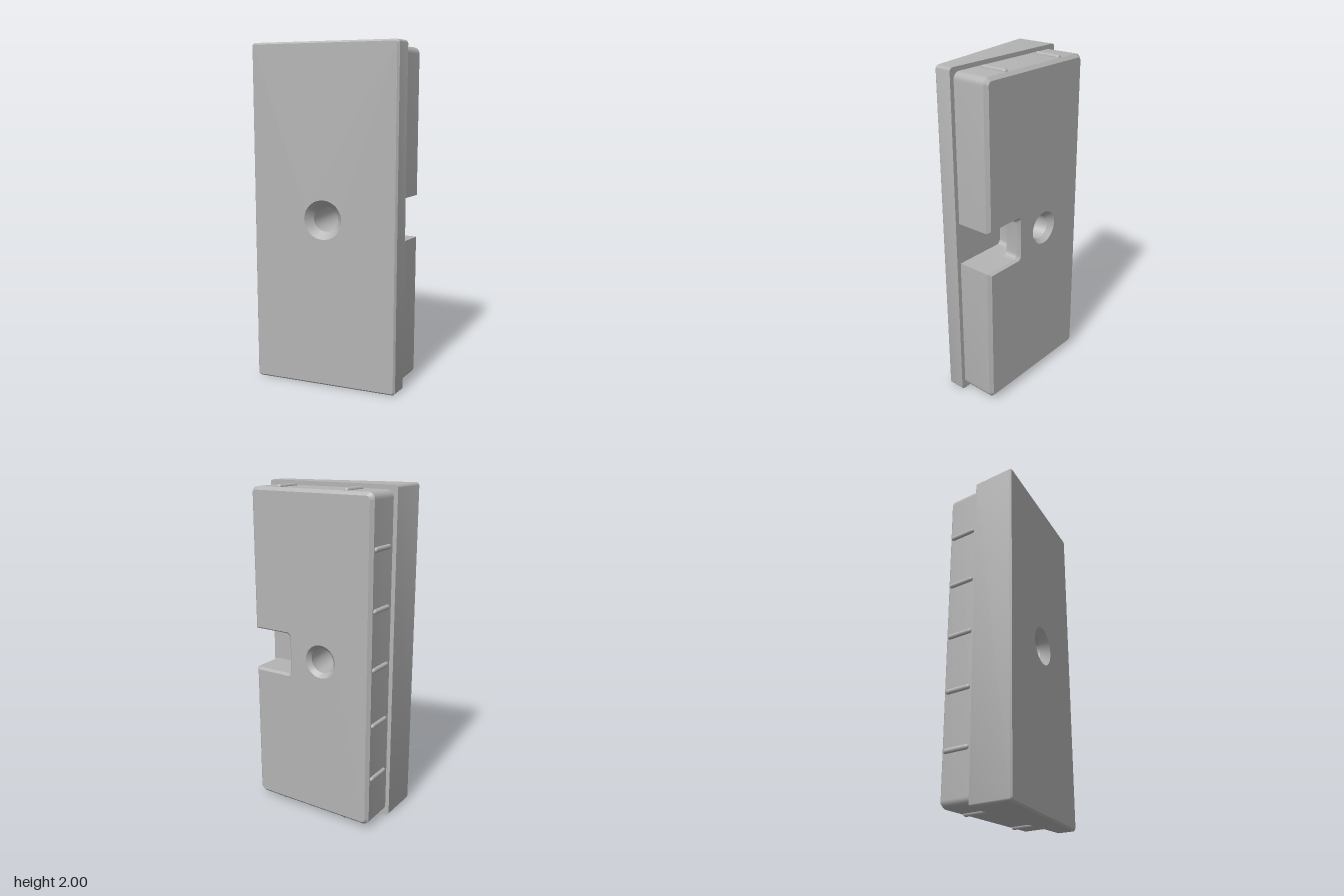
import * as THREE from 'three';
import { toCreasedNormals } from 'three/addons/utils/BufferGeometryUtils.js';

// The rear block is turned 10 degrees against the front face: u runs along it, w through it.
const TILT = Math.PI / 18, C = Math.cos(TILT), S = Math.sin(TILT);
const FRONT_Z = 0.233, JOINT_W = 0.047, BACK_W = -0.175;
const HOLE_X = -0.02, HOLE_Y = 1;

const place = (u, y, w) => new THREE.Vector3(u * C - w * S, y, u * S + w * C);
const onPlaneZ = (z) => ([u, y]) => place(u, y, (z - u * S) / C);
const onPlaneW = (w) => ([u, y]) => place(u, y, w);

function arc(points, cx, cy, r, from, to) {
  for (let i = 0; i <= 6; i++) {
    const a = (from + (to - from) * i / 6) * Math.PI / 180;
    points.push([cx + r * Math.cos(a), cy + r * Math.sin(a)]);
  }
}

// Rounded rectangle, counter-clockwise, with an optional notch in its right side
function outline(u0, u1, y0, y1, r, notch) {
  const p = [];
  arc(p, u0 + r, y0 + r, r, 180, 270);
  arc(p, u1 - r, y0 + r, r, 270, 360);
  if (notch) {
    const { depthU, low, high } = notch, n = 0.03;
    p.push([u1, low]);
    arc(p, depthU + n, low + n, n, 270, 180);
    arc(p, depthU + n, high - n, n, 180, 90);
    p.push([u1, high]);
  }
  arc(p, u1 - r, y1 - r, r, 0, 90);
  arc(p, u0 + r, y1 - r, r, 90, 180);
  return p;
}

// Circle of the screw hole, which runs straight along z
function circle(r, zAt) {
  return Array.from({ length: 40 }, (_, i) => {
    const a = i / 40 * Math.PI * 2, x = HOLE_X + r * Math.cos(a);
    return new THREE.Vector3(x, HOLE_Y + r * Math.sin(a), zAt(x));
  });
}
const zOfW = (w) => (x) => (w + x * S) / C;

// Skin through closed rings of equal length
function loft(rings) {
  const n = rings[0].length, index = [], pos = [];
  rings.forEach((ring) => ring.forEach((v) => pos.push(v.x, v.y, v.z)));
  for (let k = 0; k < rings.length - 1; k++) {
    for (let i = 0; i < n; i++) {
      const a = k * n + i, b = k * n + (i + 1) % n;
      index.push(a, a + n, b, b, a + n, b + n);
    }
  }
  const g = new THREE.BufferGeometry();
  g.setAttribute('position', new THREE.Float32BufferAttribute(pos, 3));
  g.setIndex(index);
  return toCreasedNormals(g, 0.5);
}

// Flat face with the screw hole left open
function cap(points, map, holeRing, facesBack) {
  const shape = new THREE.Shape(points.map(([u, y]) => new THREE.Vector2(u, y)));
  shape.holes.push(new THREE.Path(holeRing.map((v) => new THREE.Vector2(v.x * C + v.z * S, v.y))));
  const g = new THREE.ShapeGeometry(shape), pos = g.attributes.position;
  for (let i = 0; i < pos.count; i++) {
    const v = map([pos.getX(i), pos.getY(i)]);
    pos.setXYZ(i, v.x, v.y, v.z);
  }
  if (facesBack) g.index.array.reverse();
  g.computeVertexNormals();
  return g;
}

export function createModel() {
  const group = new THREE.Group();
  const grey = new THREE.MeshStandardMaterial({ color: 0xb4b4b4 });
  grey.name = 'plain grey';
  const add = (name, geometry) => {
    const mesh = new THREE.Mesh(geometry, grey);
    mesh.name = name;
    group.add(mesh);
    return mesh;
  };

  // Wedge-shaped front block
  const front = outline(-0.408, 0.455, 0, 2, 0.02);
  const frontInset = outline(-0.4, 0.445, 0.01, 1.99, 0.012);
  add('frontBlockSides', loft([
    frontInset.map(onPlaneZ(FRONT_Z)),
    front.map(onPlaneZ(FRONT_Z - 0.01)),
    front.map(onPlaneW(JOINT_W)),
  ]));
  add('frontFace', cap(frontInset, onPlaneZ(FRONT_Z), circle(0.115, () => FRONT_Z), false));
  add('frontBlockLedge', cap(front, onPlaneW(JOINT_W), circle(0.085, zOfW(JOINT_W)), true));

  // Rear block with a side notch that runs deeper beneath its inner lip
  const rear = (inset, depthU) => outline(-0.383 + inset, 0.429 - inset, 0.025 + inset, 1.975 - inset,
    0.04 - inset, { depthU, low: 0.88 - inset * 0.6, high: 1.13 + inset * 0.6 });
  const rearInset = rear(0.019, 0.157);
  add('rearBlockSides', loft([
    rear(0, 0.09).map(onPlaneW(JOINT_W)),
    rear(0, 0.09).map(onPlaneW(-0.08)),
    rear(0, 0.175).map(onPlaneW(-0.08)),
    rear(0, 0.175).map(onPlaneW(-0.156)),
    rearInset.map(onPlaneW(BACK_W)),
  ]));
  add('rearFace', cap(rearInset, onPlaneW(BACK_W), circle(0.1, zOfW(BACK_W)), true));

  // Screw hole, countersunk at both ends
  add('screwHole', loft([
    circle(0.1, zOfW(BACK_W)),
    circle(0.075, zOfW(BACK_W + 0.03)),
    circle(0.075, () => FRONT_Z - 0.05),
    circle(0.115, () => FRONT_Z),
  ]));

  // Crush ribs on the top, bottom and one side of the rear block
  const ribGeometry = new THREE.CapsuleGeometry(0.015, 0.14, 6, 14);
  ribGeometry.rotateX(Math.PI / 2);
  const rib = (name, u, y) => {
    const mesh = add(name, ribGeometry);
    mesh.position.copy(place(u, y, -0.066));
    mesh.rotation.y = -TILT;
  };
  for (const u of [-0.2, 0.247]) {
    rib('topRib', u, 1.975);
    rib('bottomRib', u, 0.025);
  }
  for (let i = -2; i <= 2; i++) rib('sideRib', -0.383, 1 + i * 0.3375);

  return group;
}
